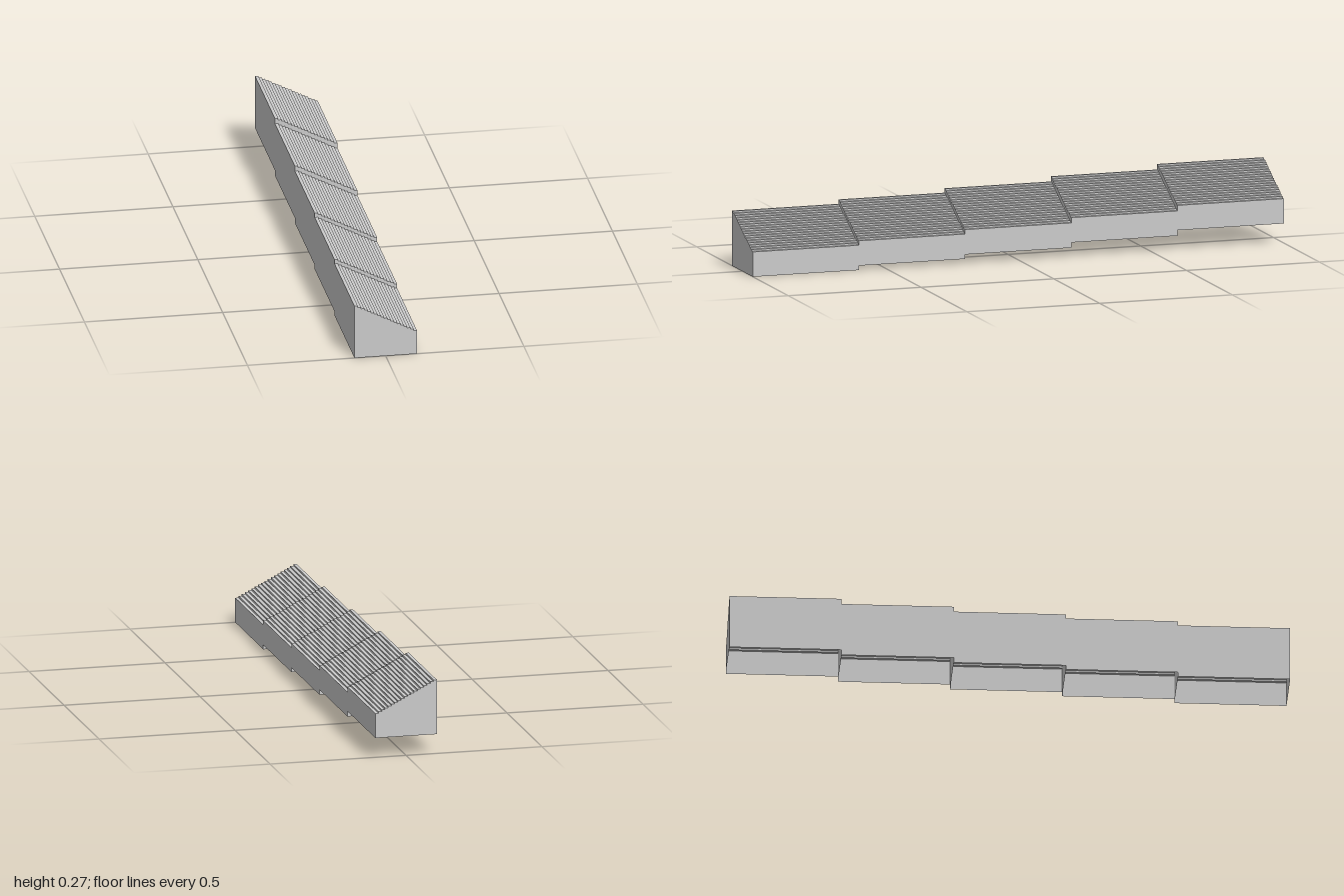
import * as THREE from 'three';

const HALF_WIDTH = 0.113;
const STEPS = 19;
const HIGH = 0.2;           // height of the tall side
const LOW = 0.09;           // height of the low side
const LENGTH = 0.4;         // length of one section
const RISES = [0, 0.016, 0.032, 0.051, 0.071]; // base height per section, front to back

const material = new THREE.MeshStandardMaterial({ color: 0xcccccc, side: THREE.DoubleSide });

// Cross-section: up the tall wall, down the stepped slope, down the low wall
function profilePoints() {
  const points = [new THREE.Vector2(-HALF_WIDTH, 0)];
  const tread = (2 * HALF_WIDTH) / STEPS;
  for (let i = 0; i < STEPS; i++) {
    const y = HIGH - ((HIGH - LOW) * i) / (STEPS - 1);
    const x = -HALF_WIDTH + i * tread;
    points.push(new THREE.Vector2(x, y), new THREE.Vector2(x + tread, y));
  }
  points.push(new THREE.Vector2(HALF_WIDTH, 0));
  return points;
}

// Sweep the open cross-section along z, leaving the underside open
function shellGeometry(points) {
  const positions = [];
  const h = LENGTH / 2;
  for (let i = 0; i < points.length - 1; i++) {
    const a = points[i], b = points[i + 1];
    positions.push(
      a.x, a.y, h, b.x, b.y, h, b.x, b.y, -h,
      a.x, a.y, h, b.x, b.y, -h, a.x, a.y, -h
    );
  }
  const geometry = new THREE.BufferGeometry();
  geometry.setAttribute('position', new THREE.Float32BufferAttribute(positions, 3));
  geometry.computeVertexNormals();
  return geometry;
}

export function createModel() {
  const model = new THREE.Group();
  model.name = 'steppedRoofRow';

  const points = profilePoints();
  const shell = shellGeometry(points);
  const frontEnd = new THREE.ShapeGeometry(new THREE.Shape(points)).translate(0, 0, LENGTH / 2);
  const backEnd = frontEnd.clone().rotateY(Math.PI).scale(-1, 1, 1);
  // Mirroring flips the winding, so restore the outward-facing order
  backEnd.index.array.reverse();
  backEnd.computeVertexNormals();

  // Five hollow sections, each a little higher than the one in front
  RISES.forEach((rise, i) => {
    const section = new THREE.Group();
    section.name = `section${i + 1}`;
    const parts = { wallsAndSteps: shell, frontEndWall: frontEnd, backEndWall: backEnd };
    for (const [name, geometry] of Object.entries(parts)) {
      const mesh = new THREE.Mesh(geometry, material);
      mesh.name = name;
      section.add(mesh);
    }
    section.position.set(0, rise, 1 - LENGTH * (i + 0.5));
    model.add(section);
  });

  return model;
}
